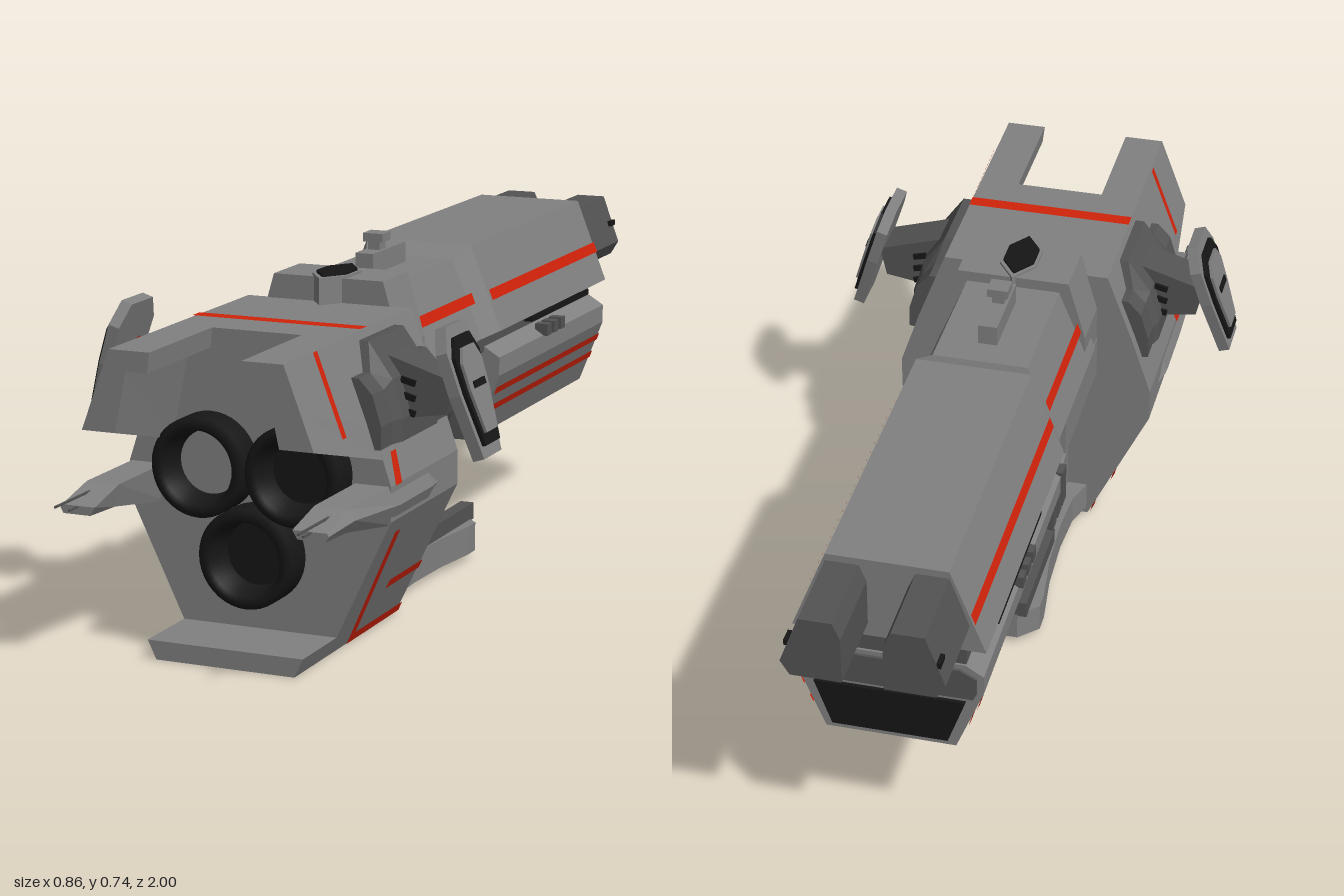
import * as THREE from 'three';

const mat = (name, color) => Object.assign(new THREE.MeshStandardMaterial({ color, side: THREE.DoubleSide }), { name });

export function createModel() {
  const hull = mat('hull grey', 0x808080);
  const dark = mat('dark grey', 0x535353);
  const black = mat('black', 0x161616);
  const red = mat('stripe red', 0xd0220a);
  const model = new THREE.Group();

  const add = (name, geo, material, parent = model) => {
    const m = new THREE.Mesh(geo, material);
    m.name = name;
    parent.add(m);
    return m;
  };

  // Flat-shaded solid through cross-sections: [[z, [[x, y], ...]], ...]
  const loftGeo = (sections) => {
    const rings = [...sections].sort((a, b) => a[0] - b[0]).map(([z, pts]) => {
      const p = pts.map(([x, y]) => new THREE.Vector2(x, y));
      if (THREE.ShapeUtils.isClockWise(p)) p.reverse();
      return { z, p };
    });
    const out = [];
    const put = (r, i) => out.push(r.p[i].x, r.p[i].y, r.z);
    for (let k = 0; k + 1 < rings.length; k++) {
      const a = rings[k], b = rings[k + 1], n = a.p.length;
      for (let i = 0; i < n; i++) {
        const j = (i + 1) % n;
        put(a, i); put(a, j); put(b, j);
        put(a, i); put(b, j); put(b, i);
      }
    }
    const first = rings[0], last = rings[rings.length - 1];
    for (const [i, j, k] of THREE.ShapeUtils.triangulateShape(first.p, [])) { put(first, i); put(first, k); put(first, j); }
    for (const [i, j, k] of THREE.ShapeUtils.triangulateShape(last.p, [])) { put(last, i); put(last, j); put(last, k); }
    const g = new THREE.BufferGeometry();
    g.setAttribute('position', new THREE.Float32BufferAttribute(out, 3));
    g.computeVertexNormals();
    return g;
  };
  const sym = (half) => [...half, ...[...half].reverse().map(([x, y]) => [-x, y])];
  const flip = (pts, s) => pts.map(([x, y]) => [x * s, y]);
  const prism = (name, pts, z0, z1, m, parent) => add(name, loftGeo([[z0, pts], [z1, pts]]), m, parent);
  const box = (name, x, y, z, w, h, d, m, parent) => {
    const b = add(name, new THREE.BoxGeometry(w, h, d), m, parent);
    b.position.set(x, y, z);
    return b;
  };
  const quad = (name, c, m = red) => {
    const g = new THREE.BufferGeometry();
    g.setAttribute('position', new THREE.Float32BufferAttribute([0, 1, 2, 0, 2, 3].flatMap((i) => c[i]), 3));
    g.computeVertexNormals();
    return add(name, g, m);
  };

  // Engine block
  prism('engineBlock', sym([[0.18, 0.63], [0.24, 0.47], [0.28, 0.35], [0.28, 0.28], [0.147, 0]]), 0.31, 0.645, hull);
  prism('tailPlate', sym([[0.165, 0.038], [0.147, 0]]), 0.6, 0.8, hull);
  quad('roofStripe', [[-0.18, 0.633, 0.53], [-0.18, 0.633, 0.562], [0.18, 0.633, 0.562], [0.18, 0.633, 0.53]]);

  // Engine nozzles
  [[-0.1, 0.365, hull], [0.1, 0.365, black], [0, 0.192, black]].forEach(([x, y, core]) => {
    const ring = [[0.1, 0], [0.1, 0.062], [0.09, 0.067], [0.075, 0.067], [0.064, 0.004]].map((p) => new THREE.Vector2(...p));
    add('engineNozzle', new THREE.LatheGeometry(ring, 40).rotateX(Math.PI / 2), black).position.set(x, y, 0.643);
    add('engineCore', new THREE.CircleGeometry(0.066, 40), core).position.set(x, y, 0.65);
  });

  const lowX = (y) => 0.151 + 0.475 * y;
  const barrelX = (y, grow) => grow + (0.68 - y) * 0.389;
  for (const s of [-1, 1]) {
    // Overhanging tail prongs
    add('tailProng', loftGeo([
      [0.64, flip([[0.095, 0.63], [0.18, 0.63], [0.24, 0.47], [0.263, 0.4], [0.185, 0.4], [0.145, 0.59], [0.1, 0.59]], s)],
      [0.908, flip([[0.095, 0.63], [0.18, 0.63], [0.215, 0.537], [0.24, 0.47], [0.17, 0.47], [0.145, 0.59], [0.1, 0.59]], s)],
    ]), hull);
    quad('prongStripe', [[s * 0.184, 0.63, 0.77], [s * 0.244, 0.47, 0.77], [s * 0.244, 0.47, 0.788], [s * 0.184, 0.63, 0.788]]);

    // Stripes on the lower flank
    const flank = (name, pts) => quad(name, pts.map(([z, y]) => [s * lowX(y), y, z]));
    flank('flankStripe', [[0.545, 0.015], [0.57, 0.015], [0.6, 0.25], [0.575, 0.25]]);
    flank('sillStripe', [[0.312, 0.003], [0.57, 0.003], [0.57, 0.022], [0.312, 0.022]]);
    flank('shortStripe', [[0.312, 0.098], [0.48, 0.098], [0.48, 0.116], [0.312, 0.116]]);
    quad('shoulderStripe', [[s * 0.284, 0.35, 0.6], [s * 0.284, 0.35, 0.63], [s * 0.264, 0.41, 0.61], [s * 0.264, 0.41, 0.585]]);

    // Side pods with antennas
    const pod = (t, b, o) => flip([[0.205, t], [0.275, t], [o, (t + b) / 2 + 0.002], [0.272, b], [0.215, b]], s);
    add('sidePod', loftGeo([[0.41, pod(0.315, 0.295, 0.28)], [0.46, pod(0.35, 0.268, 0.29)],
      [0.62, pod(0.35, 0.268, 0.29)], [0.83, pod(0.35, 0.305, 0.288)], [0.928, pod(0.327, 0.31, 0.278)]]), hull);
    box('antenna', s * 0.25, 0.34, 0.93, 0.004, 0.004, 0.14, dark);
    box('shortAntenna', s * 0.242, 0.325, 0.92, 0.004, 0.004, 0.08, dark);

    // Shoulder mounts
    const mount = [[0.17, 0.615], [0.205, 0.615], [0.255, 0.545], [0.277, 0.47], [0.277, 0.425], [0.2, 0.415]];
    const mountEnd = [[0.17, 0.56], [0.222, 0.56], [0.25, 0.53], [0.268, 0.47], [0.268, 0.425], [0.2, 0.415]];
    add('shoulderMount', loftGeo([[0.335, flip(mountEnd, s)], [0.385, flip(mountEnd, s)], [0.41, flip(mount, s)],
      [0.58, flip(mount, s)], [0.61, flip(mountEnd, s)], [0.665, flip(mountEnd, s)]]), dark);

    // Outrigger arm and shield panel
    const wing = new THREE.Group();
    wing.name = 'outrigger';
    wing.position.z = 0.495;
    wing.rotation.y = s > 0 ? 0 : Math.PI;
    model.add(wing);
    prism('arm', [[0.22, 0.585], [0.365, 0.54], [0.35, 0.475], [0.22, 0.455]], -0.045, 0.045, dark, wing);
    for (let i = 0; i < 3; i++) box('armRib', 0.272, 0.475 + i * 0.03, 0, 0.03, 0.012, 0.104, black, wing).rotation.z = -0.25;
    const panel = new THREE.Group();
    panel.name = 'shieldPanel';
    panel.position.set(0.377, 0.517, 0);
    panel.rotation.z = 0.31;
    wing.add(panel);
    const layer = (name, k, x, t, m) => {
      const o = [[-0.045, 0.132], [0.045, 0.132], [0.075, 0.085], [0.07, 0.0], [0.045, -0.132], [-0.045, -0.132], [-0.07, 0.0], [-0.075, 0.085]];
      const g = new THREE.ExtrudeGeometry(new THREE.Shape(o.map(([a, b]) => new THREE.Vector2(a * k, b * k))), { depth: t, bevelEnabled: false });
      add(name, g.rotateY(Math.PI / 2).translate(x, 0, 0), m, panel);
    };
    layer('panelBase', 1, -0.012, 0.024, hull);
    layer('panelFrame', 0.82, 0.012, 0.008, black);
    layer('panelFace', 0.64, 0.012, 0.014, hull);
    box('panelSlot', 0.027, 0.01, 0, 0.004, 0.014, 0.055, black, panel);

    // Long barrel stripes
    const strip = (name, x0, y0, x1, y1, z0, z1) => quad(name, [[s * x0, y0, z0], [s * x1, y1, z0], [s * x1, y1, z1], [s * x0, y0, z1]]);
    strip('upperStripe', barrelX(0.586, 0.124), 0.586, barrelX(0.564, 0.124), 0.564, -0.82, -0.16);
    strip('neckStripe', barrelX(0.586, 0.104), 0.586, barrelX(0.564, 0.104), 0.564, -0.11, 0.25);
    for (const y of [0.365, 0.322]) {
      const x = (h) => 0.188 - (0.4 - h) * 0.393;
      strip('lowerStripe', x(y + 0.008), y + 0.008, x(y - 0.008), y - 0.008, -0.82, -0.165);
    }

    // Muzzle prongs
    const tip = [[0.055, 0.665], [0.12, 0.665], [0.158, 0.56], [0.14, 0.53], [0.04, 0.53], [0.04, 0.63]];
    prism('muzzleProng', flip(tip, s), -1, -0.8, dark);
    box('muzzleSlot', s * 0.145, 0.605, -0.985, 0.008, 0.012, 0.03, black);

    // Ribs and vents along the barrels
    for (let i = 0; i < 3; i++) {
      box('ventRib', s * 0.18, 0.452, -0.44 - i * 0.042, 0.03, 0.026, 0.026, dark);
      box('neckRib', s * 0.145, 0.33, -0.04 - i * 0.044, 0.045, 0.085, 0.034, dark);
    }
    box('sideRail', s * 0.15, 0.427, 0.155, 0.02, 0.09, 0.31, hull);
    box('shadowSlot', s * 0.178, 0.49, -0.53, 0.02, 0.012, 0.36, black);
    box('keelRail', s * 0.105, 0.092, -0.045, 0.03, 0.036, 0.27, dark);
  }

  // Upper barrel, stepping down to the neck
  const upper = sym([[0.12, 0.68], [0.19, 0.5]]);
  const neck = sym([[0.1, 0.657], [0.168, 0.49]]);
  add('upperBarrel', loftGeo([[-0.82, upper], [-0.155, upper], [-0.1, neck], [0.25, neck]]), hull);
  prism('neckCollar', sym([[0.12, 0.68], [0.158, 0.55], [0.158, 0.47]]), 0.19, 0.315, hull);
  prism('barrelCore', sym([[0.15, 0.51], [0.15, 0.45]]), -0.815, 0.31, dark);

  // Lower barrel with dark end cap
  prism('lowerBarrel', sym([[0.15, 0.462], [0.185, 0.44], [0.185, 0.4], [0.13, 0.26]]), -0.82, -0.16, hull);
  prism('lowerEndCap', sym([[0.15, 0.375], [0.115, 0.275]]), -0.828, -0.81, black);
  prism('lowerEndBand', sym([[0.14, 0.452], [0.172, 0.435], [0.172, 0.4], [0.165, 0.385]]), -0.826, -0.81, dark);
  prism('lowerNeck', sym([[0.14, 0.48], [0.15, 0.38], [0.11, 0.29]]), -0.17, 0.32, dark);
  box('bellyHatch', 0, 0.259, -0.42, 0.1, 0.008, 0.12, dark);

  // Roof canopy
  const canopy = (k) => new THREE.Shape([[0, 0.08], [0.036, 0.03], [0.036, -0.03], [0, -0.08], [-0.036, -0.03], [-0.036, 0.03]]
    .map(([x, y]) => new THREE.Vector2(x * k, y * k)));
  const slab = (shape, depth) => new THREE.ExtrudeGeometry(shape, { depth, bevelEnabled: false }).rotateX(-Math.PI / 2);
  add('canopyBase', slab(canopy(1.1), 0.06), hull).position.set(0, 0.625, 0.27);
  add('canopyGlass', slab(canopy(0.92), 0.006), black).position.set(0, 0.684, 0.27);

  // Roof turret
  box('turretBase', 0, 0.675, 0.05, 0.04, 0.05, 0.17, hull);
  box('turretNeck', 0, 0.705, 0.07, 0.026, 0.03, 0.03, hull);
  box('turretHead', 0, 0.726, 0.07, 0.044, 0.018, 0.042, hull);

  // Keel tray and ramp
  const edge = [[0.147, 0.32], [0.125, 0.25], [0.12, 0.15], [0.125, 0.02], [0.14, -0.1], [0.14, -0.14], [0.1, -0.18]];
  const tray = new THREE.Shape(sym(edge).map(([x, z]) => new THREE.Vector2(x, -z)));
  add('keelTray', slab(tray, 0.062), hull).position.y = 0.015;
  const ramp = new THREE.Shape([[0.32, 0.02], [0.32, 0.18], [0.27, 0.165], [0.09, 0.09], [0.09, 0.02]]
    .map(([z, y]) => new THREE.Vector2(-z, y)));
  add('keelRamp', new THREE.ExtrudeGeometry(ramp, { depth: 0.2, bevelEnabled: false }).rotateY(Math.PI / 2).translate(-0.1, 0, 0), hull);

  return model;
}
